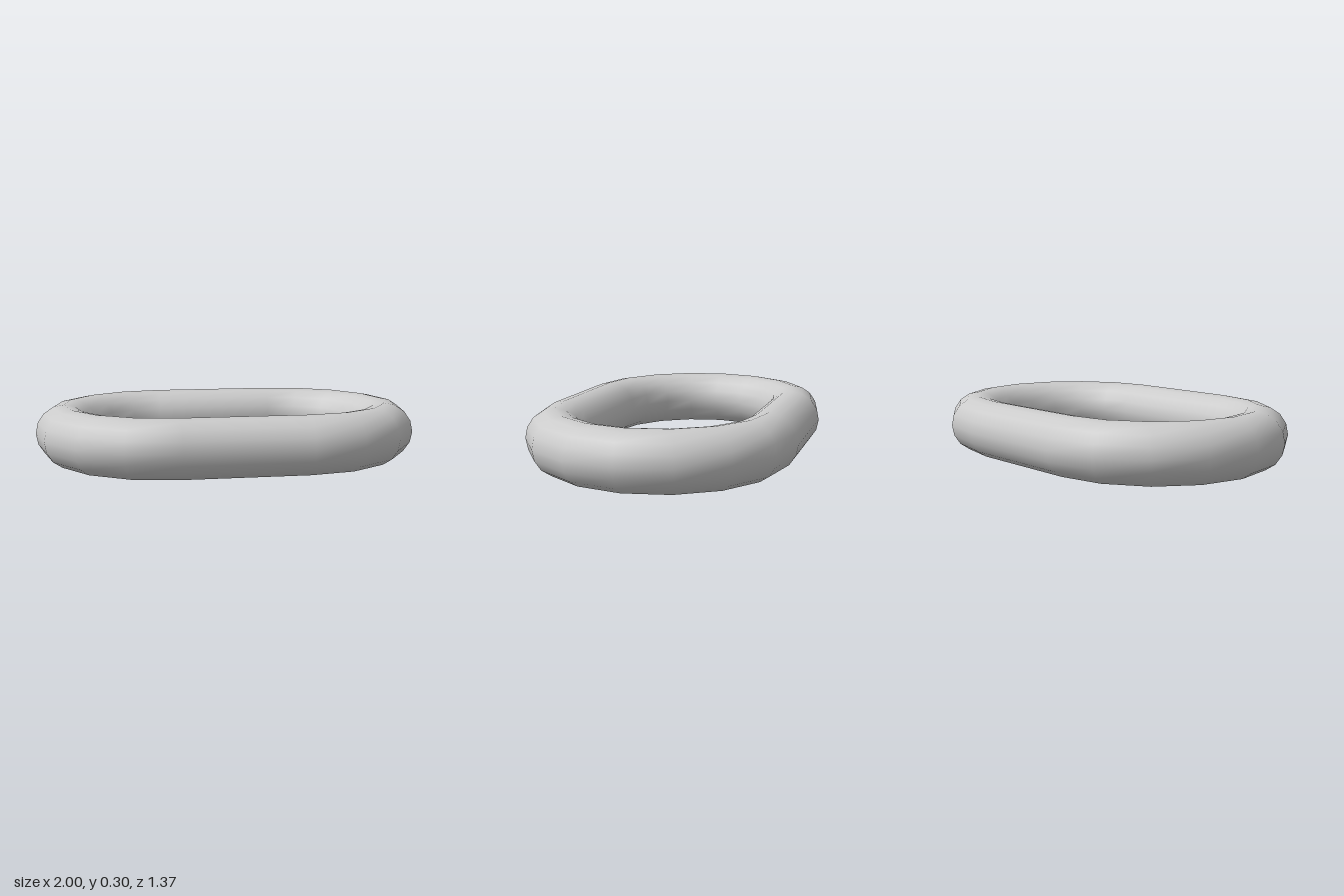
import * as THREE from 'three';

const TUBE = 0.148;   // radius of the round bar
const BEND = 0.538;   // radius of the end bends, to the bar's centre
const HALF = 0.314;   // half length of the straight bars
const SIDES = 16;

export function createModel() {
  const link = new THREE.Group();
  link.name = 'chainLink';
  const material = new THREE.MeshStandardMaterial({ color: 0xcccccc });

  // Half ring opening towards -x, lying flat
  const bend = new THREE.TorusGeometry(BEND, TUBE, SIDES, 8, Math.PI)
    .rotateZ(-Math.PI / 2)
    .rotateX(Math.PI / 2);
  // Open-ended bar along x; its ends meet the bends
  const bar = new THREE.CylinderGeometry(TUBE, TUBE, 2 * HALF, SIDES, 1, true)
    .rotateZ(Math.PI / 2);

  const add = (name, geometry, x, z, turn = 0) => {
    const mesh = new THREE.Mesh(geometry, material);
    mesh.name = name;
    mesh.position.set(x, TUBE, z);
    mesh.rotation.y = turn;
    link.add(mesh);
  };

  add('leftBend', bend, HALF, 0);
  add('rightBend', bend, -HALF, 0, Math.PI);
  add('frontBar', bar, 0, BEND);
  add('backBar', bar, 0, -BEND);
  return link;
}
